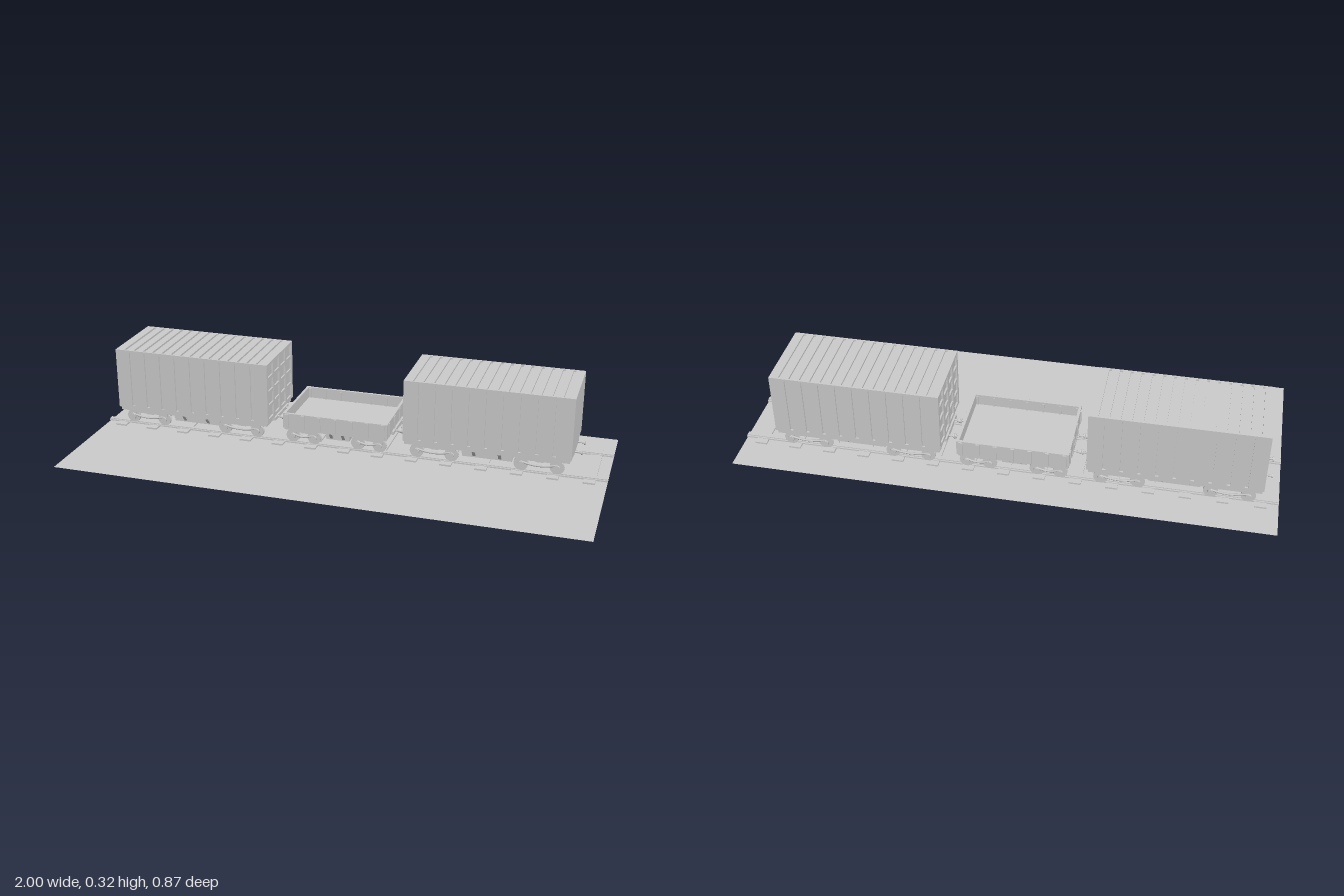
import * as THREE from 'three';

const mat = new THREE.MeshStandardMaterial({ color: 0xcccccc, side: THREE.DoubleSide });
const TRACK_Z = -0.155;

function add(parent, name, geo, x = 0, y = 0, z = 0) {
  const m = new THREE.Mesh(geo, mat);
  m.name = name;
  m.position.set(x, y, z);
  parent.add(m);
  return m;
}

// box given by its min and max on each axis
function box(parent, name, x0, x1, y0, y1, z0, z1) {
  return add(parent, name, new THREE.BoxGeometry(x1 - x0, y1 - y0, z1 - z0),
    (x0 + x1) / 2, (y0 + y1) / 2, (z0 + z1) / 2);
}

// outline in x, y extruded along z and centred
function plate(parent, name, pts, depth, z = 0) {
  const shape = new THREE.Shape(pts.map(p => new THREE.Vector2(...p)));
  const g = new THREE.ExtrudeGeometry(shape, { depth, bevelEnabled: false });
  g.translate(0, 0, -depth / 2);
  return add(parent, name, g, 0, 0, z);
}

function group(parent, name, x = 0, y = 0, z = 0) {
  const g = new THREE.Group();
  g.name = name;
  g.position.set(x, y, z);
  parent.add(g);
  return g;
}

// two axles with side frames and hanging springs
function bogie(parent, x, halfBase) {
  const g = group(parent, 'bogie', x);
  for (const ax of [-halfBase, halfBase]) {
    const axle = add(g, 'axle', new THREE.CylinderGeometry(0.006, 0.006, 0.26, 10), ax, 0.038);
    axle.rotation.x = Math.PI / 2;
    for (const s of [-1, 1]) {
      const wheel = add(g, 'wheel', new THREE.CylinderGeometry(0.027, 0.027, 0.009, 24), ax, 0.038, s * 0.127);
      wheel.rotation.x = Math.PI / 2;
      const cap = add(g, 'axleBox', new THREE.CylinderGeometry(0.012, 0.012, 0.012, 12), ax, 0.038, s * 0.138);
      cap.rotation.x = Math.PI / 2;
      plate(g, 'axleGuard', [[ax - 0.02, 0.068], [ax - 0.008, 0.036], [ax + 0.008, 0.036], [ax + 0.02, 0.068]], 0.004, s * 0.135);
    }
  }
  for (const s of [-1, 1]) {
    const curve = new THREE.QuadraticBezierCurve3(
      new THREE.Vector3(-halfBase, 0.05, s * 0.138),
      new THREE.Vector3(0, 0.028, s * 0.138),
      new THREE.Vector3(halfBase, 0.05, s * 0.138));
    add(g, 'spring', new THREE.TubeGeometry(curve, 12, 0.004, 6));
    box(g, 'sideFrame', -halfBase, halfBase, 0.056, 0.066, s * 0.133 - 0.005, s * 0.133 + 0.005);
  }
  box(g, 'bolster', -0.015, 0.015, 0.045, 0.068, -0.12, 0.12);
}

// deck, bogies, underfloor box and buffers shared by every wagon
function chassis(parent, half, bogieX, halfBase, boxHalf) {
  const g = group(parent, 'chassis');
  box(g, 'deck', -half, half, 0.065, 0.079, -0.144, 0.144);
  for (const s of [-1, 1]) {
    bogie(g, s * bogieX, halfBase);
    const ex = s * half;
    box(g, 'bufferBeam', ex - 0.006, ex + 0.012, 0.066, 0.079, -0.078, 0.078);
    for (const z of [-0.047, 0.047]) {
      const rod = add(g, 'bufferRod', new THREE.CylinderGeometry(0.004, 0.004, 0.026, 8), ex + s * 0.02, 0.073, z);
      rod.rotation.z = Math.PI / 2;
      const head = add(g, 'bufferHead', new THREE.CylinderGeometry(0.009, 0.009, 0.005, 12), ex + s * 0.032, 0.073, z);
      head.rotation.z = Math.PI / 2;
    }
  }
  plate(g, 'underfloorBox', [[-boxHalf, 0.066], [-boxHalf * 0.92, 0.028], [boxHalf * 0.92, 0.028], [boxHalf, 0.066]], 0.214);
  // slanted braces either side of the underfloor box
  for (const x of [-boxHalf * 0.48, boxHalf * 0.48]) for (const s of [-1, 1]) {
    const brace = plate(g, 'brace', [[0.105, 0.03], [0.105, 0.066], [0.134, 0.066]], 0.012);
    brace.rotation.y = -s * Math.PI / 2;
    brace.position.x = x;
  }
}

// ribbed container wagon with doors on its +x end
function containerWagon(parent, x, turn) {
  const g = group(parent, 'containerWagon', x, 0, TRACK_Z - 0.002);
  g.rotation.y = turn;
  const L = 0.317, W = 0.149, y0 = 0.079, y1 = 0.322, d = 0.007;
  chassis(g, L - 0.006, 0.198, 0.067, 0.102);
  const b = group(g, 'container');
  box(b, 'core', -L + d, L - d, y0, y1 - d, -W + d, W - d);
  box(b, 'plainEnd', -L, -L + d, y0, y1, -W, W);
  // side panels with grooves between them
  const n = 10, p = 2 * L / n;
  for (const s of [-1, 1]) {
    const zs = s > 0 ? [W - d, W] : [-W, -W + d];
    for (let i = 0; i < n; i++)
      box(b, 'sidePanel', -L + i * p + (i ? 0.006 : 0), -L + (i + 1) * p - (i < n - 1 ? 0.006 : 0), y0 + 0.008, y1 - 0.008, ...zs);
    box(b, 'bottomRail', -L, L, y0, y0 + 0.008, ...zs);
    box(b, 'topRail', -L, L, y1 - 0.008, y1, ...zs);
  }
  // roof ribs
  const m = 16, q = 2 * L / m;
  for (let i = 0; i < m; i++)
    box(b, 'roofRib', -L + i * q + (i ? 0.005 : 0), -L + (i + 1) * q - (i < m - 1 ? 0.005 : 0), y1 - d, y1, -W + d, W - d);
  // door end as a grid of bars
  for (let i = 0; i < 5; i++) {
    const z = -W + 0.008 + i * (2 * W - 0.016) / 4;
    box(b, 'doorPost', L - d, L, y0, y1, z - 0.008, z + 0.008);
    const y = y0 + 0.007 + i * (y1 - y0 - 0.014) / 4;
    box(b, 'doorBar', L - d, L - 0.001, y - 0.007, y + 0.007, -W, W);
  }
}

// low wagon with open top
function openWagon(parent, x) {
  const g = group(parent, 'openWagon', x, 0, TRACK_Z - 0.002);
  const L = 0.208, W = 0.149, t = 0.01, y0 = 0.074, y1 = 0.134;
  chassis(g, L - 0.004, 0.131, 0.043, 0.05);
  box(g, 'floor', -L + t, L - t, y0, 0.09, -W + t, W - t);
  for (const s of [-1, 1]) {
    const zw = s * (W - t / 2), xw = s * (L - t / 2);
    box(g, 'sideWall', -L, L, y0, y1, zw - t / 2, zw + t / 2);
    box(g, 'endWall', xw - t / 2, xw + t / 2, y0, y1, -W + t, W - t);
    for (let i = 0; i < 7; i++) {
      const px = -L + 0.016 + i * (2 * L - 0.032) / 6, pz = s * (W + 0.003);
      box(g, 'sidePost', px - 0.007, px + 0.007, y0, y1 - 0.002, pz - 0.003, pz + 0.003);
      box(g, 'innerPost', px - 0.004, px + 0.004, 0.088, y1 - 0.006, s * (W - t) - 0.003, s * (W - t) + 0.003);
    }
    for (let i = 0; i < 4; i++) {
      const pz = -0.12 + i * 0.08;
      box(g, 'endPost', s * L - 0.003, s * L + 0.003, y0, y1 - 0.004, pz - 0.006, pz + 0.006);
    }
  }
}

export function createModel() {
  const model = new THREE.Group();
  model.name = 'freightTrain';

  // ground
  const ground = add(model, 'ground', new THREE.PlaneGeometry(2, 0.87));
  ground.rotation.x = -Math.PI / 2;

  // track
  const track = group(model, 'track', 0, 0, TRACK_Z + 0.004);
  for (let i = 0; i < 15; i++) {
    const x = -0.935 + i * 1.87 / 14;
    box(track, 'sleeper', x - 0.022, x + 0.022, 0.0005, 0.007, -0.154, 0.154);
  }
  for (const s of [-1, 1]) {
    const z = s * 0.113 - 0.002;
    box(track, 'railFoot', -1, 1, 0.004, 0.009, z - 0.014, z + 0.014);
    box(track, 'railHead', -1, 1, 0.009, 0.012, z - 0.008, z + 0.008);
  }

  // wagons
  containerWagon(model, -0.624, 0);
  openWagon(model, -0.036);
  containerWagon(model, 0.549, Math.PI);
  return model;
}
